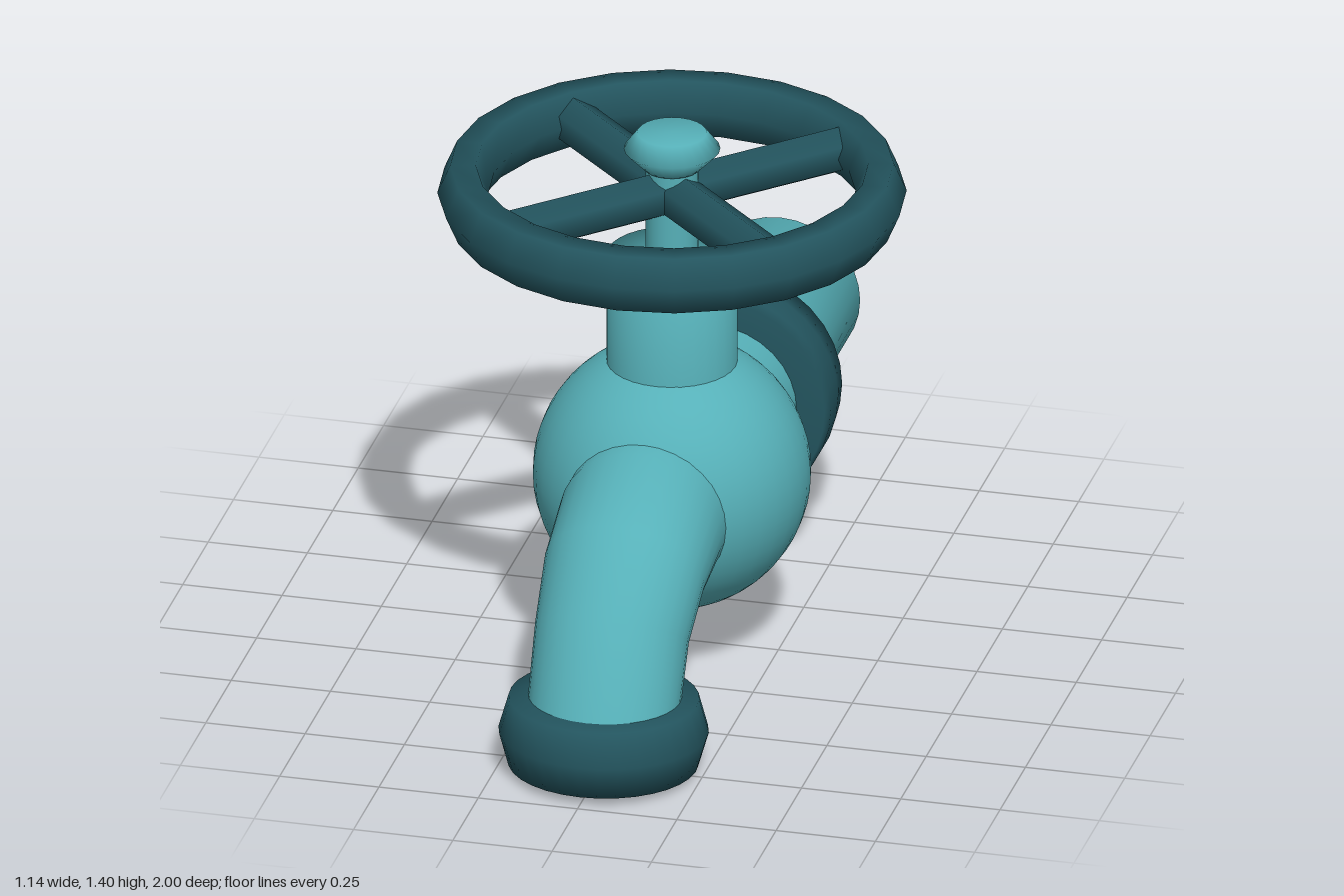
import * as THREE from 'three';

const teal = new THREE.MeshStandardMaterial({ color: 0x56b0b8 });
const darkTeal = new THREE.MeshStandardMaterial({ color: 0x23545e });
const AXIS_Z = 0.07; // vertical axis of the valve
const PIPE_Y = 0.482; // height of the horizontal pipe

function add(parent, name, geometry, material, x = 0, y = 0, z = 0) {
  const mesh = new THREE.Mesh(geometry, material);
  mesh.name = name;
  mesh.position.set(x, y, z);
  parent.add(mesh);
  return mesh;
}

// Turned part from [radius, height] pairs, listed bottom to top
function turned(profile, sides = 32) {
  return new THREE.LatheGeometry(profile.map(([r, y]) => new THREE.Vector2(r, y)), sides);
}

// Spout skin: each ring is [top z, top y, bottom z, bottom y, half width]
function spoutGeometry(rings, sides = 32) {
  const positions = [], index = [];
  rings.forEach(([tz, ty, bz, by, w], i) => {
    for (let j = 0; j < sides; j++) {
      const a = (j / sides) * Math.PI * 2, s = Math.sin(a) / 2;
      positions.push(Math.cos(a) * w, (ty + by) / 2 + s * (ty - by), (tz + bz) / 2 + s * (tz - bz));
      if (i === rings.length - 1) continue;
      const p = i * sides + j, q = i * sides + (j + 1) % sides;
      index.push(p, q, p + sides, q, q + sides, p + sides);
    }
  });
  const geometry = new THREE.BufferGeometry();
  geometry.setAttribute('position', new THREE.Float32BufferAttribute(positions, 3));
  geometry.setIndex(index);
  geometry.computeVertexNormals();
  return geometry;
}

export function createModel() {
  const model = new THREE.Group();
  model.name = 'waterTap';

  // Valve body, bonnet and stem
  add(model, 'valveBody', new THREE.SphereGeometry(0.34, 40, 28), teal, 0, 0.49, AXIS_Z);
  add(model, 'bonnet', turned([[0.16, 0.7], [0.16, 1.073], [0, 1.073]]), teal, 0, 0, AXIS_Z);
  add(model, 'stem', turned([[0.065, 1.03], [0.065, 1.33]], 24), teal, 0, 0, AXIS_Z);
  add(model, 'knob', turned([[0, 1.31], [0.07, 1.31], [0.118, 1.36], [0.085, 1.403], [0, 1.403]], 24),
    teal, 0, 0, AXIS_Z);

  // Hand wheel: six-sided rim with four diagonal spokes
  const wheel = new THREE.Group();
  wheel.name = 'handWheel';
  wheel.position.set(0, 1.243, AXIS_Z);
  model.add(wheel);
  const rim = add(wheel, 'rim', new THREE.TorusGeometry(0.51, 0.0625, 6, 24), darkTeal);
  rim.rotation.x = Math.PI / 2;
  rim.scale.z = 1.35;
  for (let i = 0; i < 2; i++) {
    const spoke = add(wheel, 'spokePair', new THREE.CylinderGeometry(0.06, 0.06, 0.98, 6), darkTeal);
    spoke.rotation.set(Math.PI / 2, 0, Math.PI / 4 + i * Math.PI / 2);
  }

  // Inlet pipe running to the back, with its coupling nut
  const inlet = new THREE.Group();
  inlet.name = 'inlet';
  inlet.position.y = PIPE_Y;
  inlet.rotation.x = -Math.PI / 2;
  model.add(inlet);
  add(inlet, 'neck', turned([[0.205, 0.1], [0.205, 0.4]]), teal);
  add(inlet, 'couplingNut',
    turned([[0.15, 0.356], [0.275, 0.356], [0.285, 0.38], [0.285, 0.45], [0.275, 0.53], [0.15, 0.53]]), darkTeal);
  add(inlet, 'inletPipe', turned([[0.2, 0.4], [0.2, 1], [0, 1]]), teal);

  // Curved spout and the nozzle ring at its mouth
  add(model, 'spout', spoutGeometry([
    [0.2, 0.685, 0.2, 0.28, 0.205],
    [0.4, 0.685, 0.36, 0.28, 0.205],
    [0.61, 0.585, 0.465, 0.28, 0.2],
    [0.8, 0.425, 0.52, 0.225, 0.19],
    [0.935, 0.15, 0.57, 0.13, 0.187],
  ]), teal);
  const nozzle = add(model, 'nozzle',
    turned([[0, -0.086], [0.233, -0.086], [0.257, 0], [0.233, 0.086], [0.15, 0.086]]),
    darkTeal, 0, 0.1, 0.743);
  nozzle.rotation.x = -0.047;

  return model;
}
